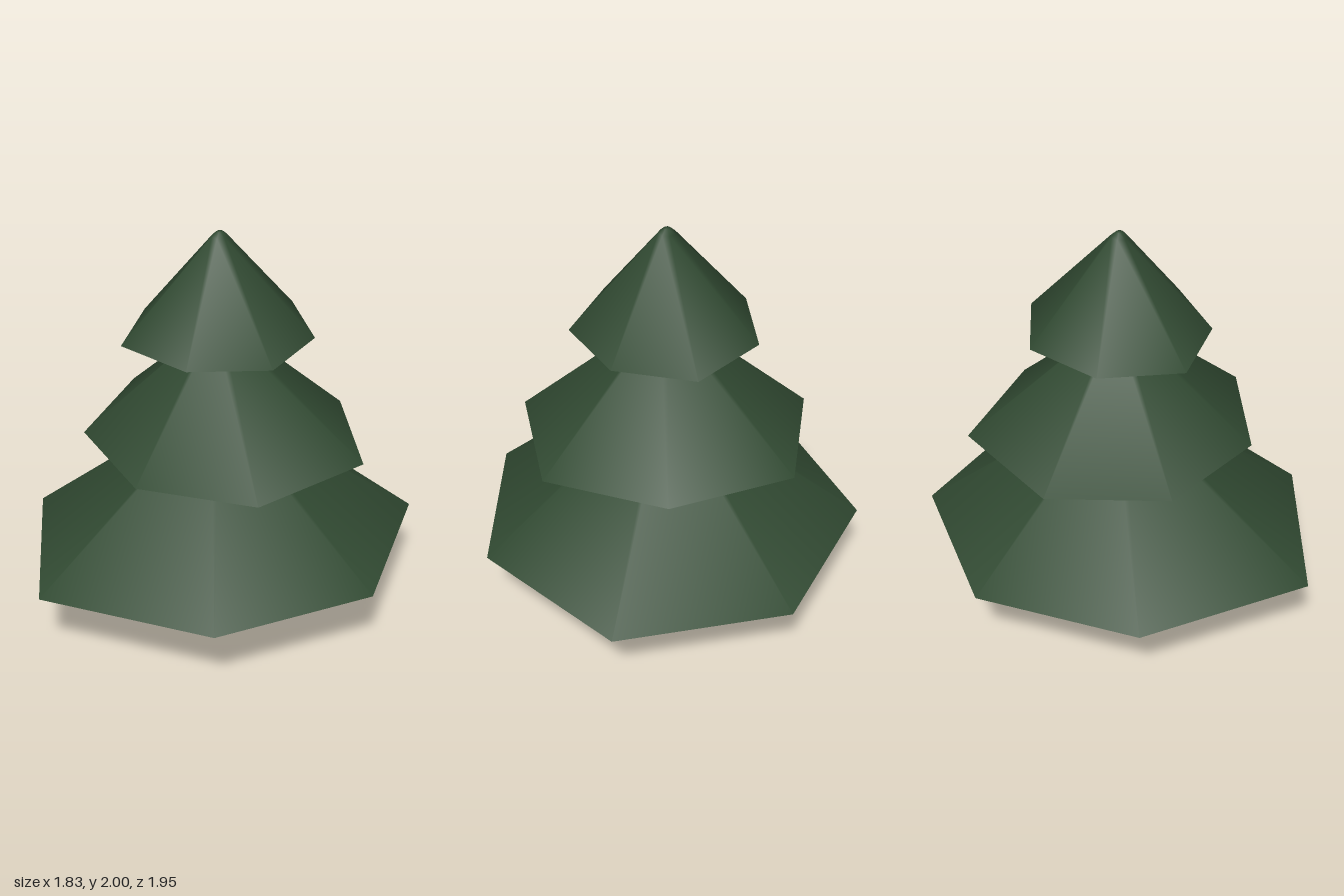
import * as THREE from 'three';

// The crown axis is slightly off centre
const AXIS_X = -0.015, AXIS_Z = -0.082;

// Seven uneven rim corners [x, z] for each tier, from the back round by +x
const TIERS = [
  { name: 'lowerBranches', base: 0.41, top: 1.13, rim: [[-0.375, -0.98], [0.47, -0.94], [0.912, -0.235], [0.673, 0.537], [-0.08, 0.97], [-0.78, 0.448], [-0.917, -0.355]] },
  { name: 'middleBranches', base: 0.95, top: 1.56, rim: [[-0.46, -0.666], [0.15, -0.733], [0.653, -0.396], [0.611, 0.225], [0.13, 0.547], [-0.43, 0.422], [-0.7, -0.096]] },
  { name: 'upperBranches', base: 1.49, top: 2, rim: [[-0.03, -0.557], [0.32, -0.376], [0.43, -0.013], [0.19, 0.293], [-0.197, 0.36], [-0.43, 0.034], [-0.373, -0.35]] },
];

// Hollow cone: rim, a small rounded shoulder, then a blunt tip
function tierGeometry({ base, top, rim }) {
  const n = rim.length, positions = [], index = [];
  const ring = (y, radius) => rim.forEach(([x, z]) => {
    const dx = x - AXIS_X, dz = z - AXIS_Z;
    const k = radius ? radius / Math.hypot(dx, dz) : 1;
    positions.push(AXIS_X + dx * k, y, AXIS_Z + dz * k);
  });
  ring(base, 0);
  ring(top - 0.025, 0.04);
  ring(top - 0.003, 0.016);
  positions.push(AXIS_X, top, AXIS_Z);

  for (let r = 0; r < 3; r++) {
    for (let i = 0; i < n; i++) {
      const a = r * n + i, b = r * n + (i + 1) % n;
      if (r === 2) index.push(a, 3 * n, b);
      else index.push(a, a + n, b + n, a, b + n, b);
    }
  }
  const geometry = new THREE.BufferGeometry();
  geometry.setAttribute('position', new THREE.Float32BufferAttribute(positions, 3));
  geometry.setIndex(index);
  geometry.computeVertexNormals();
  return geometry;
}

export function createModel() {
  const tree = new THREE.Group();
  tree.name = 'pineTree';

  const needles = new THREE.MeshStandardMaterial({ color: 0x314a32, side: THREE.DoubleSide });
  needles.name = 'needleGreen';
  const bark = new THREE.MeshStandardMaterial({ color: 0x4f3a32 });
  bark.name = 'barkBrown';

  // Tapered trunk, ending inside the lowest tier
  const height = 0.8;
  const trunk = new THREE.Mesh(new THREE.CylinderGeometry(0.06, 0.108, height, 7), bark);
  trunk.name = 'trunk';
  trunk.position.set(-0.005, height / 2, -0.083);
  tree.add(trunk);

  // Three stacked tiers of branches
  for (const tier of TIERS) {
    const mesh = new THREE.Mesh(tierGeometry(tier), needles);
    mesh.name = tier.name;
    tree.add(mesh);
  }
  return tree;
}
